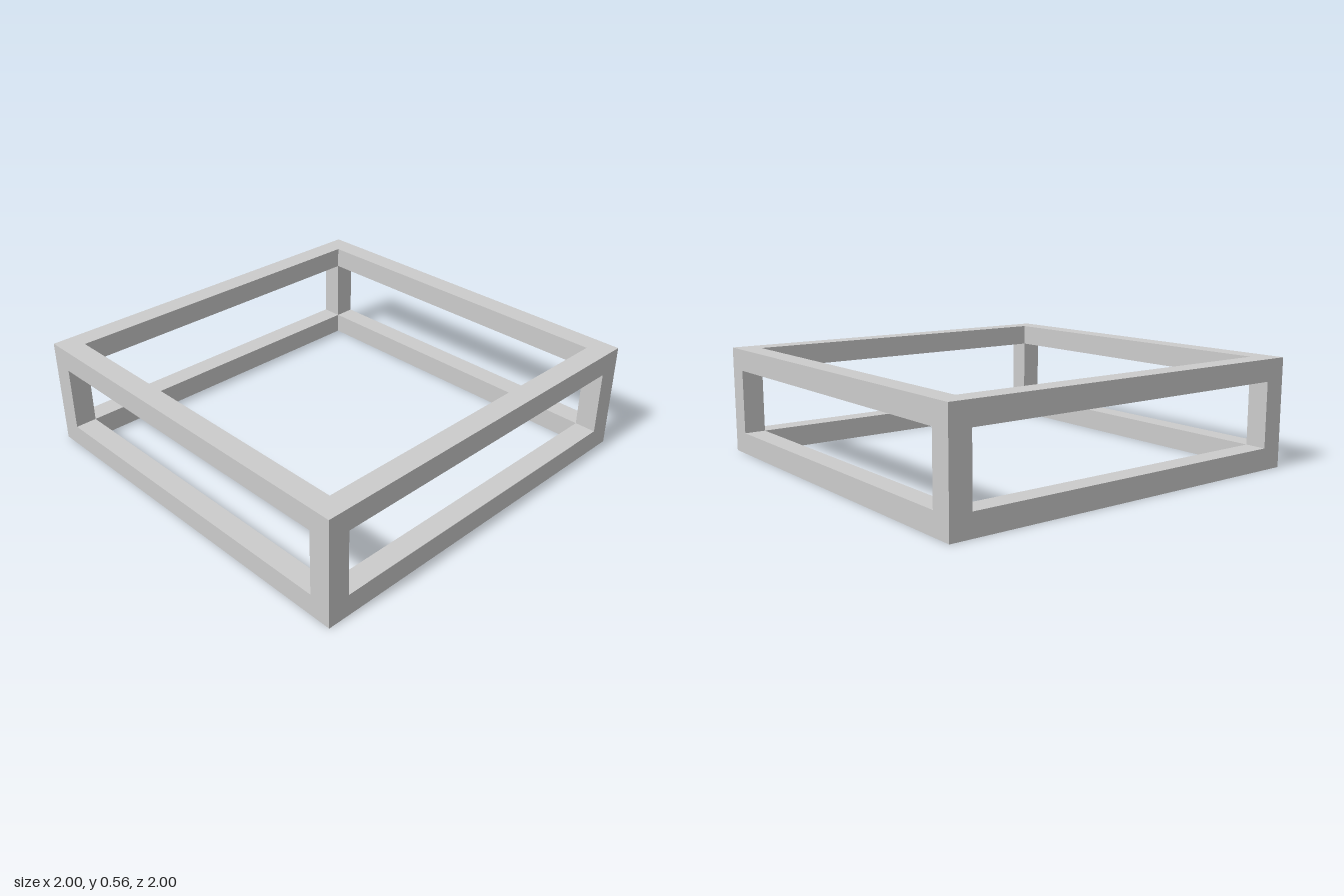
import * as THREE from 'three';

const BAR = 1 / 9;      // square bar thickness
const HEIGHT = 5 / 9;   // overall height
const HALF = 1;         // half of the outer width and depth

const material = new THREE.MeshStandardMaterial({ color: 0xcccccc, flatShading: true });

// Square outline centred on the origin
function square(Type, half) {
  return new Type([
    new THREE.Vector2(-half, -half),
    new THREE.Vector2(half, -half),
    new THREE.Vector2(half, half),
    new THREE.Vector2(-half, half),
  ]);
}

export function createModel() {
  const model = new THREE.Group();
  model.name = 'openBoxFrame';

  // Bottom and top rings: a square with a square opening
  const outline = square(THREE.Shape, HALF);
  outline.holes.push(square(THREE.Path, HALF - BAR));
  const ringGeometry = new THREE.ExtrudeGeometry(outline, { depth: BAR, bevelEnabled: false });
  ringGeometry.rotateX(-Math.PI / 2);
  for (const [name, y] of [['bottomRing', 0], ['topRing', HEIGHT - BAR]]) {
    const ring = new THREE.Mesh(ringGeometry, material);
    ring.name = name;
    ring.position.y = y;
    model.add(ring);
  }

  // Corner posts between the rings
  const postGeometry = new THREE.BoxGeometry(BAR, HEIGHT - 2 * BAR, BAR);
  const offset = HALF - BAR / 2;
  for (const x of [-1, 1]) {
    for (const z of [-1, 1]) {
      const post = new THREE.Mesh(postGeometry, material);
      post.name = (z > 0 ? 'front' : 'back') + (x > 0 ? 'Left' : 'Right') + 'Post';
      post.position.set(x * offset, HEIGHT / 2, z * offset);
      model.add(post);
    }
  }

  return model;
}
